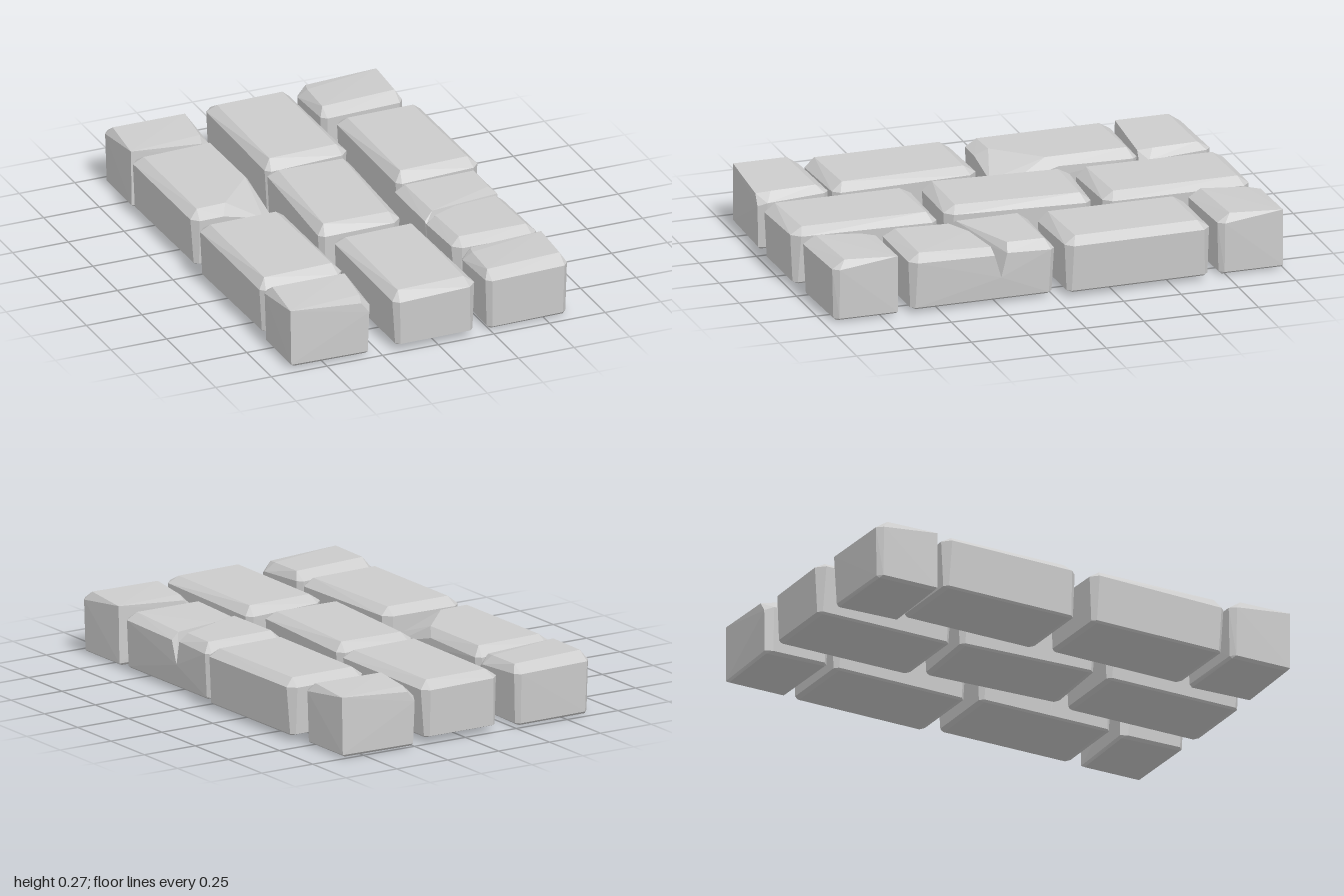
import * as THREE from 'three';
import { ConvexGeometry } from 'three/addons/geometries/ConvexGeometry.js';

const stone = new THREE.MeshStandardMaterial({ color: 0xcccccc });
stone.name = 'paleStone';
const H = 0.24;

// Faceted stone wrapped tightly around its corner points
function hull(name, pts) {
  const geo = new ConvexGeometry(pts.map((p) => new THREE.Vector3(...p)));
  const mesh = new THREE.Mesh(geo, stone);
  mesh.name = name;
  return mesh;
}

// Corner points of a chamfered block that tapers slightly to its base;
// a seed makes the chamfers a little uneven
function blockPoints(w, d, seed) {
  const pts = [];
  let k = 0;
  for (const sx of [-1, 1]) for (const sz of [-1, 1]) {
    const v = Math.sin(seed * 12.9 + k++ * 4.1);
    const x = w / 2, z = d / 2, c = 0.028 + 0.008 * v;
    const shoulder = H - 0.036 + 0.007 * v;
    pts.push(
      [sx * (x - 0.036 - 0.006 * v), H, sz * (z - 0.046 - 0.006 * v)],
      [sx * x, shoulder, sz * (z - c)],
      [sx * (x - c), shoulder, sz * z],
      [sx * (x - 0.013), 0.008, sz * (z - 0.025)],
      [sx * (x - 0.03), 0.008, sz * (z - 0.008)],
      [sx * (x - 0.022), 0, sz * (z - 0.03)],
    );
  }
  return pts;
}

// Corner points of a half stone: chamfered at the back and right, cut flush elsewhere
const halfPoints = [
  [-0.183, 0.255, 0.138], [-0.165, 0.262, -0.088], [0.165, 0.255, -0.1],
  [0.148, 0.245, 0.09], [0.13, 0.235, 0.15],
  [-0.187, 0.225, -0.115], [-0.165, 0.225, -0.142], [0.165, 0.222, -0.153], [0.187, 0.222, -0.132],
  [0.182, 0.205, 0.115], [0.165, 0.19, 0.153],
  [-0.18, 0.01, 0.14], [-0.165, 0, 0.132], [-0.18, 0.01, -0.115], [-0.16, 0.01, -0.135],
  [-0.165, 0, -0.125], [0.16, 0.01, -0.143], [0.178, 0.01, -0.125], [0.165, 0, -0.13],
  [0.173, 0.01, 0.115], [0.16, 0.01, 0.148], [0.155, 0, 0.138],
];

export function createModel() {
  const group = new THREE.Group();
  group.name = 'brickPaving';
  const place = (obj, x, y, z, yaw = 0) => {
    obj.position.set(x, y, z);
    obj.rotation.y = yaw;
    group.add(obj);
  };

  // Whole stones: name, x, z, width, depth, yaw
  [
    ['leftFrontStone', -0.463, 0.342, 0.375, 0.632, 0.018],
    ['rightBackStone', 0.458, -0.353, 0.375, 0.632, 0.012],
    ['middleBackStone', 0.013, -0.677, 0.375, 0.638, 0.008],
    ['middleCentreStone', -0.025, -0.01, 0.365, 0.63, -0.045],
    ['middleFrontStone', -0.008, 0.675, 0.375, 0.635, 0.008],
  ].forEach(([name, x, z, w, d, yaw], i) => {
    place(hull(name, blockPoints(w, d, i + 1)), x, 0.02, z, yaw);
  });

  // Stone with a broken front corner
  const chipped = blockPoints(0.375, 0.632, 7)
    .filter(([x, y, z]) => !(x > 0 && z > 0 && y > 0.1));
  chipped.push(
    [-0.02, H, 0.265], [0.155, H, 0.08],
    [-0.05, 0.205, 0.316], [0.187, 0.205, 0.03],
    [0.13, 0.16, 0.314], [0.187, 0.14, 0.265],
  );
  place(hull('chippedStone', chipped), -0.46, 0.02, -0.353, 0.012);

  // Stone split by a wedge-shaped crack that deepens to the right
  const cracked = new THREE.Group();
  cracked.name = 'crackedStone';
  const base = blockPoints(0.38, 0.632, 9);
  const seam = [
    [0.187, 0.1, -0.08], [-0.187, 0.195, 0.025],
    [0.168, 0, -0.08], [-0.168, 0, 0.025],
    [0.177, 0.008, -0.08], [-0.177, 0.008, 0.025],
  ];
  cracked.add(
    hull('crackedBackHalf', [...base.filter((p) => p[2] < 0), ...seam,
      [0.155, H, -0.115], [0.02, H, -0.105], [-0.15, H, 0.0],
      [0.19, 0.205, -0.105], [-0.19, 0.205, 0.015]]),
    hull('crackedFrontHalf', [...base.filter((p) => p[2] > 0), ...seam,
      [0.155, 0.228, -0.045], [-0.04, 0.232, -0.018], [-0.15, 0.232, 0.03],
      [0.19, 0.2, -0.05], [-0.19, 0.2, 0.035]]),
  );
  place(cracked, 0.425, 0.015, 0.315, 0.005);

  // Half stones at the row ends; the right ones are turned around
  place(hull('leftBackHalfStone', halfPoints), -0.45, 0, -0.832);
  place(hull('leftFrontHalfStone', halfPoints), -0.465, 0.008, 0.825);
  place(hull('rightBackHalfStone', halfPoints), 0.42, 0.005, -0.857, Math.PI);
  place(hull('rightFrontHalfStone', halfPoints), 0.42, 0.005, 0.82, Math.PI);

  return group;
}
